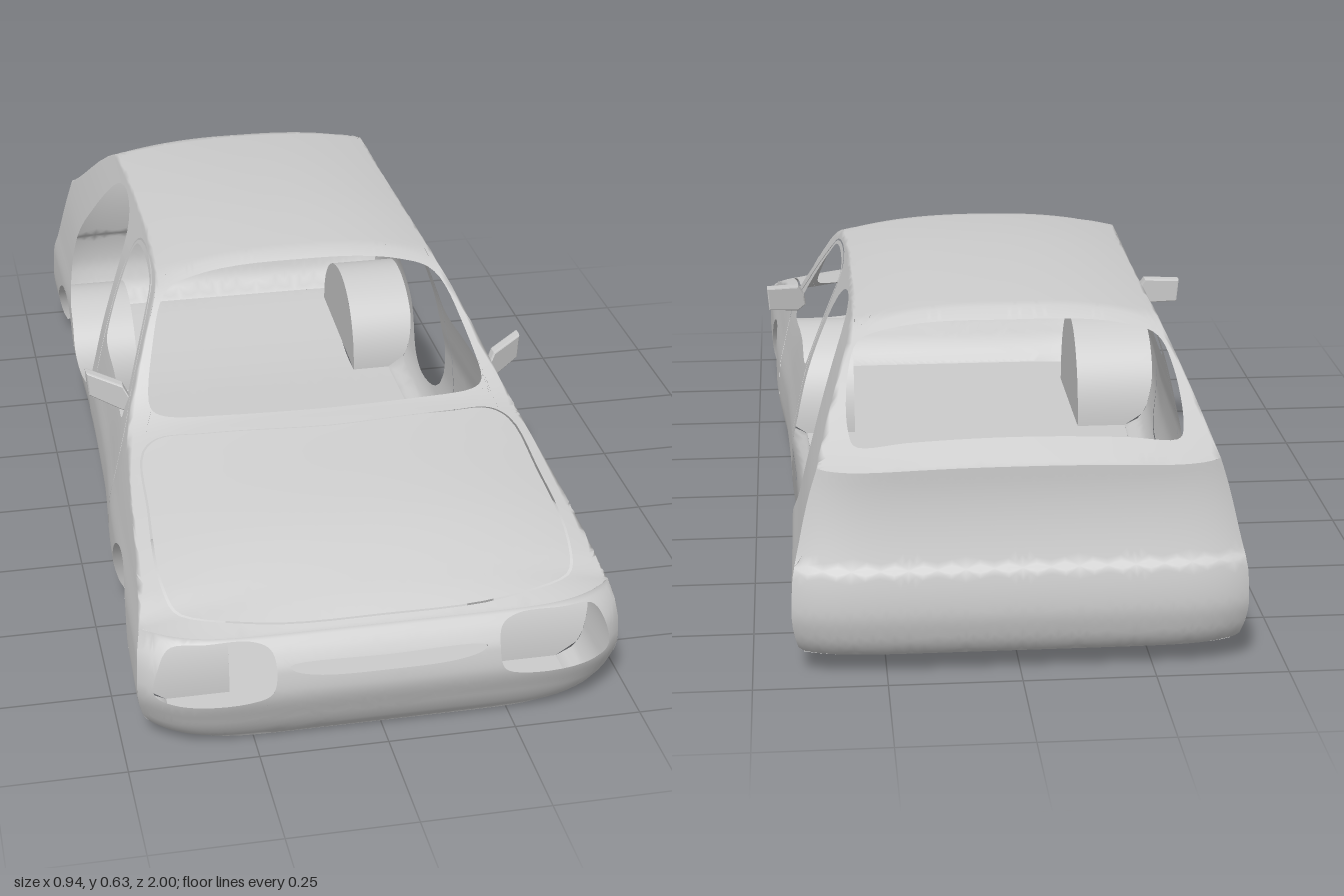
import * as THREE from 'three';
import { mergeVertices } from 'three/addons/utils/BufferGeometryUtils.js';

const material = new THREE.MeshStandardMaterial({ color: 0xcccccc, side: THREE.DoubleSide });

// Smooth monotone interpolation through a few [x, y] points, x ascending
function curve(pts) {
  const d = pts.slice(1).map((p, i) => (p[1] - pts[i][1]) / (p[0] - pts[i][0]));
  const m = pts.map((p, i) => {
    if (i === 0) return d[0];
    if (i === d.length) return d[i - 1];
    return d[i - 1] * d[i] <= 0 ? 0 : (2 * d[i - 1] * d[i]) / (d[i - 1] + d[i]);
  });
  return x => {
    if (x <= pts[0][0]) return pts[0][1];
    if (x >= pts[pts.length - 1][0]) return pts[pts.length - 1][1];
    const i = pts.findIndex(p => p[0] > x) - 1;
    const h = pts[i + 1][0] - pts[i][0], t = (x - pts[i][0]) / h, s = 1 - t;
    return pts[i][1] * (1 + 2 * t) * s * s + m[i] * h * t * s * s
      + pts[i + 1][1] * t * t * (3 - 2 * t) - m[i + 1] * h * t * t * s;
  };
}

// Body profiles: sill, shoulder and centre heights along z, width along z and its taper with height
const sillY = curve([[-0.93, 0.045], [-0.5, 0.01], [0.5, 0.01]]);
const edgeY = curve([[-0.95, 0.4], [-0.92, 0.41], [-0.66, 0.575], [-0.6, 0.598], [-0.2, 0.61], [0.05, 0.602],
  [0.11, 0.59], [0.33, 0.4], [0.38, 0.377], [0.5, 0.35], [0.7, 0.308], [0.82, 0.274], [0.885, 0.25], [0.96, 0.25]]);
const centreY = curve([[-0.95, 0.415], [-0.645, 0.6], [-0.61, 0.625], [-0.2, 0.643], [0.07, 0.632], [0.11, 0.61],
  [0.37, 0.412], [0.42, 0.402], [0.7, 0.352], [0.88, 0.288], [0.955, 0.25]]);
const baseW = curve([[-0.95, 0.425], [-0.3, 0.42], [0.1, 0.43], [0.4, 0.452], [0.9, 0.47]]);
const taper = curve([[0.01, 0.85], [0.03, 0.93], [0.07, 0.975], [0.14, 1], [0.2, 0.995], [0.27, 0.963],
  [0.35, 0.92], [0.4, 0.885], [0.5, 0.8], [0.6, 0.7], [0.65, 0.65]]);
const width = (z, y) => baseW(z) * taper(y);

// Nose and tail profiles, with the corner wrapping back at the sides
const noseZ = curve([[0.01, 0.93], [0.04, 0.957], [0.08, 0.978], [0.15, 1], [0.19, 0.995], [0.22, 0.98], [0.25, 0.955]]);
const tailZ = curve([[0.045, 0.94], [0.065, 0.972], [0.1, 0.99], [0.15, 1], [0.225, 0.99], [0.235, 0.978], [0.395, 0.95], [0.42, 0.95]]);
const noseWrap = a => 0.07 * Math.abs(a) ** 8;
const tailWrap = a => 0.03 * Math.abs(a) ** 8;

// Body skin: |u| < 1 is the top, |u| from 1 to 2 runs down the side to the sill
function skin(z, u) {
  const s = Math.sign(u), a = Math.abs(u), e = edgeY(z);
  if (a <= 1) return new THREE.Vector3(u * width(z, e), e + (centreY(z) - e) * (1 - a ** 2.4), z);
  const y = e + (sillY(z) - e) * (a - 1);
  return new THREE.Vector3(s * width(z, y), y, z);
}
const sideU = (z, y) => 2 - (y - sillY(z)) / (edgeY(z) - sillY(z));
const topU = (x, z) => x / width(z, edgeY(z));
const nose = (a, y) => { const z = noseZ(y) - noseWrap(a); return new THREE.Vector3(a * width(z, y), y, z); };
const tail = (a, y) => { const z = tailWrap(a) - tailZ(y); return new THREE.Vector3(-a * width(z, y), y, z); };
const under = (a, z) => new THREE.Vector3(a * width(z, sillY(z)), sillY(z), z);

const V2 = ([x, y]) => new THREE.Vector2(x, y);
const range = (n, f) => Array.from({ length: n + 1 }, (_, i) => f(i / n));

// Closed smooth outline through a few points
const loop = (pts, n = 56) => new THREE.CatmullRomCurve3(pts.map(p => new THREE.Vector3(p[0], p[1], 0)), true)
  .getPoints(n).slice(0, -1).map(p => [p.x, p.y]);
const mirrorX = pts => [...pts, ...pts.slice().reverse().filter(p => p[0] !== 0).map(p => [-p[0], p[1]])];
function shrink(pts, k) {
  const c = [0, 1].map(i => pts.reduce((t, p) => t + p[i], 0) / pts.length);
  return pts.map(p => p.map((v, i) => c[i] + (v - c[i]) * k));
}

// Flat outline with holes, split finely and then laid onto a curved surface
function panel(name, outline, holes, map, size = 0.045) {
  const shape = new THREE.Shape(outline.map(V2));
  shape.holes = holes.map(h => new THREE.Path(h.map(V2)));
  const flat = new THREE.ShapeGeometry(shape), p = flat.attributes.position, ix = flat.index.array, uv = [];
  const split = t => {
    const len = t.map((q, i) => Math.hypot(q[0] - t[(i + 1) % 3][0], q[1] - t[(i + 1) % 3][1]));
    const k = len.indexOf(Math.max(...len));
    if (len[k] < size) return t.forEach(q => uv.push(q));
    const a = t[k], b = t[(k + 1) % 3], c = t[(k + 2) % 3], m = [(a[0] + b[0]) / 2, (a[1] + b[1]) / 2];
    split([a, m, c]);
    split([m, b, c]);
  };
  for (let i = 0; i < ix.length; i += 3) split([0, 1, 2].map(j => [p.getX(ix[i + j]), p.getY(ix[i + j])]));
  const pos = [], nor = [], e = 0.006;
  for (const [u, v] of uv) {
    const n = map(u + e, v).sub(map(u - e, v)).cross(map(u, v + e).sub(map(u, v - e))).normalize();
    pos.push(...map(u, v).toArray());
    nor.push(...n.toArray());
  }
  const g = new THREE.BufferGeometry();
  g.setAttribute('position', new THREE.Float32BufferAttribute(pos, 3));
  g.setAttribute('normal', new THREE.Float32BufferAttribute(nor, 3));
  const mesh = new THREE.Mesh(mergeVertices(g), material);
  mesh.name = name;
  return mesh;
}

export function createModel() {
  const car = new THREE.Group();
  car.name = 'carBody';
  const arches = [{ name: 'front', z: 0.595, r: 0.185, top: 0.235 }, { name: 'rear', z: -0.71, r: 0.18, top: 0.2 }];
  const archPoint = (w, t) => {
    const z = w.z + w.r * Math.cos(Math.PI * t), s = sillY(z);
    return [z, s + (w.top - s) * Math.sin(Math.PI * t) ** 0.9];
  };

  // Openings and separate panels
  const onSide = (pts, s) => pts.map(([z, y]) => [z, s * sideU(z, y)]);
  const onTop = pts => loop(mirrorX(pts), 80).map(([x, z]) => [z, topU(x, z)]);
  const door = loop([[0.33, 0.36], [0.335, 0.22], [0.325, 0.11], [0.26, 0.07], [0.1, 0.06], [-0.06, 0.065], [-0.14, 0.12],
    [-0.16, 0.25], [-0.16, 0.36], [-0.185, 0.48], [-0.18, 0.56], [-0.13, 0.59], [0.06, 0.585], [0.12, 0.55], [0.26, 0.425]]);
  const doorWindow = loop([[0.25, 0.357], [0.255, 0.375], [0.235, 0.41], [0.11, 0.54], [0.06, 0.573], [-0.12, 0.577], [-0.165, 0.56],
    [-0.17, 0.51], [-0.145, 0.39], [-0.125, 0.358], [0.05, 0.357]], 66);
  const rearOpening = loop([[-0.21, 0.3], [-0.22, 0.43], [-0.27, 0.55], [-0.38, 0.59], [-0.5, 0.57], [-0.62, 0.46], [-0.695, 0.36],
    [-0.685, 0.28], [-0.62, 0.22], [-0.56, 0.18], [-0.52, 0.115], [-0.46, 0.075], [-0.36, 0.062], [-0.25, 0.1]]);
  const windscreen = onTop([[0, 0.385], [0.2, 0.372], [0.33, 0.345], [0.352, 0.32], [0.33, 0.22], [0.285, 0.13], [0.22, 0.107], [0, 0.1]]);
  const rearWindow = onTop([[0, -0.89], [0.2, -0.89], [0.3, -0.885], [0.313, -0.85], [0.31, -0.74], [0.285, -0.665], [0.22, -0.645], [0, -0.642]]);
  const bonnet = onTop([[0, 0.44], [0.25, 0.415], [0.35, 0.4], [0.385, 0.43], [0.4, 0.6], [0.405, 0.8], [0.38, 0.88], [0.24, 0.93], [0, 0.94]]);

  // Main shell outline in (z, u)
  const bottom = s => [...arches.flatMap(w => range(28, t => archPoint(w, t)))].map(([z, y]) => [z, s * sideU(z, y)]);
  const noseSide = s => range(12, t => { const y = 0.01 + 0.24 * t, z = noseZ(y) - 0.07; return [z, s * sideU(z, y)]; });
  const tailSide = s => range(16, t => { const y = 0.045 + 0.365 * t, z = 0.03 - tailZ(y); return [z, s * sideU(z, y)]; });
  const half = [
    ...range(20, t => [0.955 - noseWrap(t), t]).slice(0, -1), ...noseSide(1).reverse(),
    ...bottom(1), ...tailSide(1), ...range(20, t => [tailWrap(1 - t) - 0.95, 1 - t]).slice(1)];
  const outline = [...half, ...half.slice(1, -1).reverse().map(([z, u]) => [z, -u])];
  car.add(panel('bodyShell', outline, [windscreen, rearWindow, bonnet,
    ...[1, -1].flatMap(s => [onSide(door, s), onSide(rearOpening, s)])], skin));
  car.add(panel('bonnet', shrink(bonnet, 0.988), [], skin));
  for (const s of [1, -1]) {
    car.add(panel(s > 0 ? 'leftFrontDoor' : 'rightFrontDoor', onSide(shrink(door, 0.986), s), [onSide(doorWindow, s)], skin));
  }

  // Front end with lamp openings and grille slot
  const toNose = pts => pts.map(([x, y]) => [x / width(0.95, y), y]);
  const lamp = loop([[0.215, 0.19], [0.222, 0.228], [0.255, 0.243], [0.34, 0.243], [0.41, 0.235], [0.433, 0.2],
    [0.441, 0.145], [0.41, 0.131], [0.27, 0.13], [0.225, 0.147]]);
  const slot = loop(mirrorX([[0, 0.174], [0.13, 0.178], [0.18, 0.19], [0.19, 0.2], [0, 0.203]]));
  const noseTop = range(40, t => { const a = 1 - 2 * t; return [a, skin(0.955 - noseWrap(a), a).y]; });
  car.add(panel('frontBumper', [...range(40, t => [2 * t - 1, 0.01]), ...noseTop],
    [toNose(lamp), toNose(lamp.map(([x, y]) => [-x, y])), toNose(slot)], nose, 0.035));

  // Tailgate and rear bumper
  const tailTop = range(40, t => { const a = 1 - 2 * t; return [a, skin(tailWrap(a) - 0.95, a).y]; });
  car.add(panel('tailgate', [[-1, 0.23], [1, 0.23], ...tailTop], [], tail, 0.035));
  car.add(panel('rearBumper', [[-1, 0.045], [1, 0.045], [1, 0.23], [-1, 0.23]], [], tail, 0.035));

  // Floor, notched around the wheels
  const inner = 0.27;
  const notch = arches.flatMap(w => [1, -1].flatMap(k => {
    const z = w.z + k * w.r, a = inner / width(z, sillY(z));
    return k > 0 ? [[1, z], [a, z]] : [[a, z], [1, z]];
  }));
  const floorHalf = [...range(20, t => [t, 0.93 - noseWrap(t)]), ...notch, ...range(20, t => [1 - t, tailWrap(1 - t) - 0.94])];
  car.add(panel('floor', [...floorHalf, ...floorHalf.slice(1, -1).reverse().map(([a, z]) => [-a, z])], [], under, 0.08));

  // Wheel wells
  for (const w of arches) for (const s of [1, -1]) {
    const liner = (t, v) => {
      const [z, y] = archPoint(w, Math.min(1, Math.max(0, t)));
      return new THREE.Vector3(s * (inner + (width(z, y) - inner) * v), y, z);
    };
    const well = new THREE.Group();
    well.name = `${w.name}WheelWell`;
    well.add(panel('archLiner', [[0, 0], [1, 0], [1, 1], [0, 1]], [], liner, 0.06));
    well.add(panel('innerWall', range(28, t => archPoint(w, t)), [], (z, y) => new THREE.Vector3(s * inner, y, z), 0.2));
    car.add(well);
  }

  // Door mirrors, swept back towards the tip
  for (const s of [1, -1]) {
    const pts = [[0.385, 0.385], [0.4, 0.376], [0.462, 0.392], [0.466, 0.438], [0.4, 0.427], [0.388, 0.405]];
    const g = new THREE.ExtrudeGeometry(new THREE.Shape(pts.map(([x, y]) => V2([s * x, y]))),
      { depth: 0.018, bevelSize: 0.003, bevelThickness: 0.006, bevelSegments: 2 });
    const p = g.attributes.position;
    for (let i = 0; i < p.count; i++) p.setZ(i, p.getZ(i) + 0.235 - (Math.abs(p.getX(i)) - 0.39) * 0.75);
    g.computeVertexNormals();
    const mirror = new THREE.Mesh(g, material);
    mirror.name = s > 0 ? 'leftMirror' : 'rightMirror';
    car.add(mirror);
  }
  return car;
}
